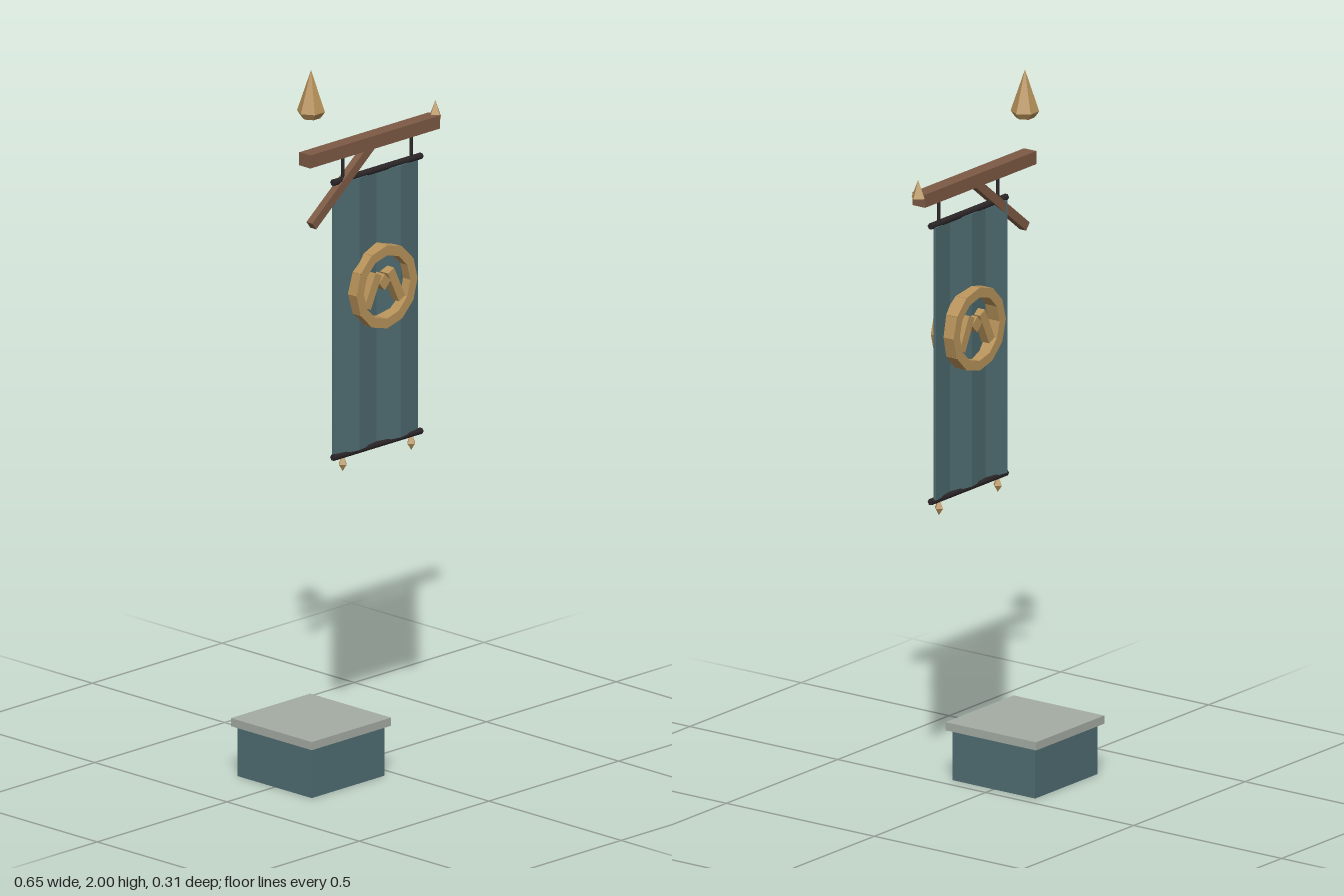
import * as THREE from 'three';

const mat = (name, color) => Object.assign(new THREE.MeshStandardMaterial({ color }), { name });

export function createModel() {
  const model = new THREE.Group();
  model.name = 'hangingBanner';
  const teal = mat('teal', 0x4f6d72);
  const stone = mat('pale stone', 0xa5aca4);
  const wood = mat('brown wood', 0x7d5a45);
  const gold = mat('dull gold', 0xb8935a);
  const iron = mat('dark iron', 0x2c2628);

  const add = (name, geometry, material, x = 0, y = 0, z = 0, parent = model) => {
    const mesh = new THREE.Mesh(geometry, material);
    mesh.name = name;
    mesh.position.set(x, y, z);
    parent.add(mesh);
    return mesh;
  };
  const box = (w, h, d) => new THREE.BoxGeometry(w, h, d);
  // faceted turned shape, profile given from bottom to top
  const turned = (profile, sides, turn = 0) => {
    const g = new THREE.LatheGeometry(profile.map(([r, y]) => new THREE.Vector2(r, y)), sides, turn).toNonIndexed();
    g.computeVertexNormals();
    return g;
  };
  const postX = -0.176, bannerX = 0.078;

  // plinth with overhanging cap
  add('plinth', box(0.28, 0.142, 0.28), teal, postX, 0.071);
  add('plinthCap', box(0.306, 0.023, 0.306), stone, postX, 0.153);

  // spear-shaped top finial, corners on the x axis
  add('topFinial', turned([[0, 0], [0.026, 0], [0.039, 0.018], [0, 0.135]], 6, Math.PI / 2), gold, postX, 1.865);

  // arm with end cap and diagonal brace
  add('arm', box(0.5, 0.037, 0.042), wood, 0.05, 1.749);
  add('armFinial', turned([[0, 0], [0.022, 0], [0, 0.05]], 4), gold, 0.303, 1.756);
  const brace = add('brace', box(0.29, 0.025, 0.022), wood, -0.061, 1.648);
  brace.rotation.z = Math.atan2(0.177, 0.225);

  // rods at top and bottom of the cloth
  for (const [name, y] of [['topRod', 1.661], ['bottomRod', 0.882]]) {
    add(name, new THREE.CylinderGeometry(0.009, 0.009, 0.342, 6), iron, bannerX, y).rotation.z = Math.PI / 2;
  }

  // hangers and bottom drops
  for (const side of [-1, 1]) {
    const x = bannerX + side * 0.132;
    add('hanger', new THREE.CylinderGeometry(0.005, 0.005, 0.075, 6), iron, x, 1.697);
    add('drop', turned([[0, 0], [0.014, 0.02], [0.005, 0.04], [0, 0.04]], 4), gold, x, 0.836);
  }

  // pleated cloth: zigzag outline extruded upward
  const front = [], back = [];
  for (let i = 0; i <= 4; i++) {
    const x = -0.16 + i * 0.08, z = i % 2 ? 0.007 : -0.007;
    front.push(new THREE.Vector2(x, -(z + 0.005)));
    back.unshift(new THREE.Vector2(x, -(z - 0.005)));
  }
  const cloth = new THREE.ExtrudeGeometry(new THREE.Shape([...front, ...back]), { depth: 0.77, bevelEnabled: false });
  cloth.rotateX(-Math.PI / 2);
  add('cloth', cloth, teal, bannerX, 0.886);

  // raised ring of twelve blocks, showing on both sides of the cloth
  const emblem = new THREE.Group();
  emblem.name = 'emblem';
  emblem.position.set(bannerX, 1.336, 0);
  model.add(emblem);
  for (let i = 0; i < 12; i++) {
    const a = (i + 0.5) * Math.PI / 6, r = 0.1;
    const block = add('ringBlock', box(0.027, 0.06, 0.077), gold, r * Math.cos(a), r * Math.sin(a), 0, emblem);
    block.rotation.z = a;
  }

  // abstract ornament: two leaning bars around a diamond
  for (const side of [-1, 1]) {
    add('ornamentBar', box(0.027, 0.098, 0.06), gold, side * 0.045, -0.005, 0, emblem).rotation.z = side * 0.45;
  }
  add('ornamentDiamond', box(0.032, 0.032, 0.06), gold, 0, 0.012, 0, emblem).rotation.z = Math.PI / 4;

  return model;
}
